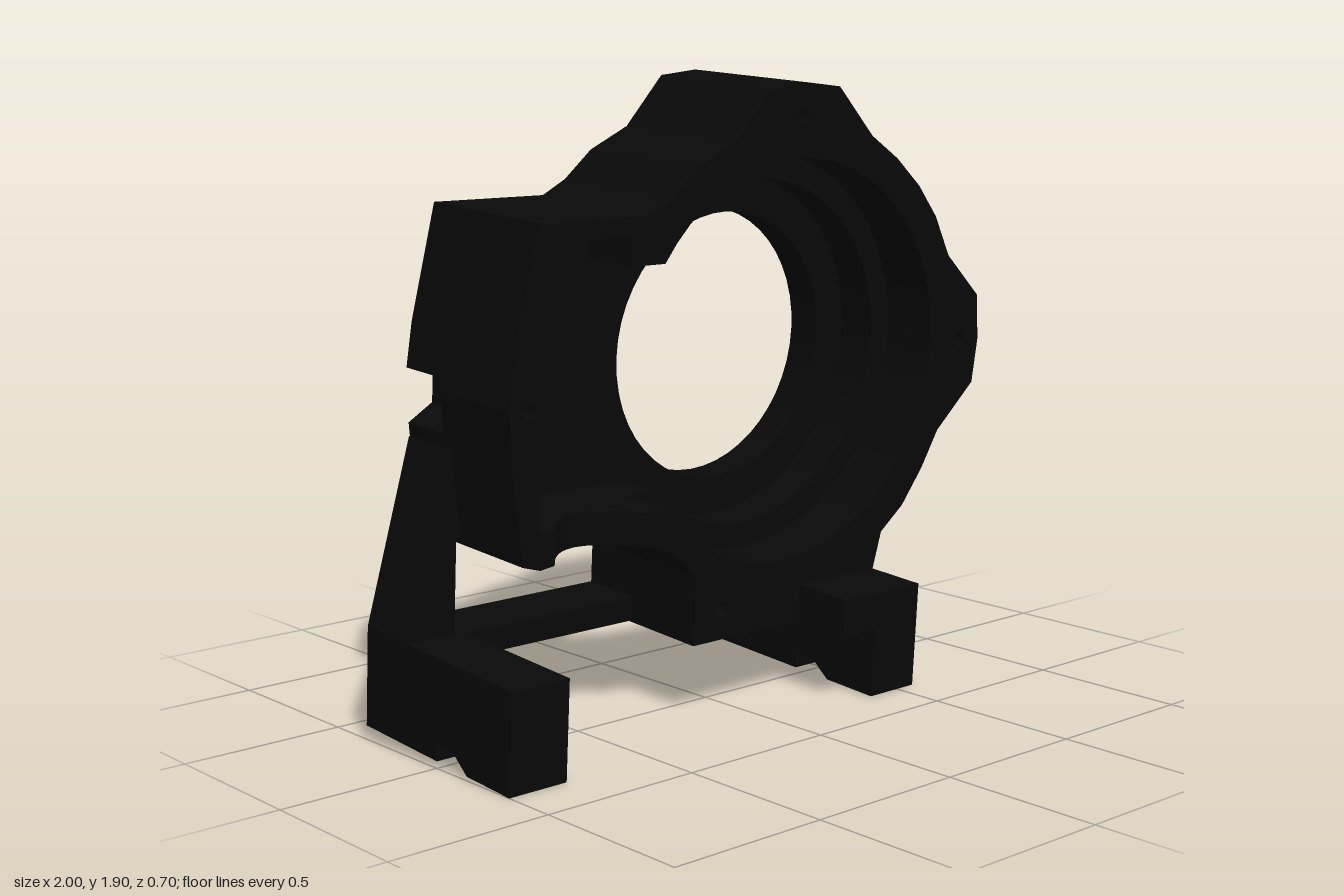
import * as THREE from 'three';

const BACK = -0.348, FRONT = 0.133;
const CX = 0.165, CY = 1.052; // bore centre

// Outer contour of the housing, clockwise from the lower window edge to the base block
const leftSide = [[-0.38, 0.568], [-0.71, 0.568], [-0.76, 0.562], [-0.82, 0.58], [-0.865, 0.86]];
const sideNotch = [[-0.87, 0.9], [-0.79, 0.95], [-0.79, 1.03], [-0.88, 1.06]];
const plainSide = [[-0.88, 1.02]];
const rest = [
  [-0.865, 1.19], [-0.795, 1.525], [-0.41, 1.525], [-0.33, 1.568], [-0.235, 1.652], [-0.1, 1.717],
  [0.03, 1.867], [0.165, 1.882], [0.31, 1.867], [0.46, 1.717], [0.575, 1.645], [0.68, 1.557],
  [0.765, 1.457], [0.835, 1.33], [0.985, 1.192], [1, 1.047], [0.985, 0.908], [0.835, 0.767],
  [0.77, 0.65], [0.69, 0.54], [0.6, 0.466], [0.57, 0.345], [0.57, 0.235], [-0.18, 0.235],
  [-0.18, 0.445], [-0.24, 0.51], [-0.33, 0.56],
];

const vecs = (pts) => pts.map(([x, y]) => new THREE.Vector2(x, y));

// Points of an arc from angle a to angle b
function arc(cx, cy, r, a, b, n) {
  return Array.from({ length: n + 1 }, (_, i) => {
    const t = a + ((b - a) * i) / n;
    return [cx + r * Math.cos(t), cy + r * Math.sin(t)];
  });
}

// Counterclockwise round hole
function circle(cx, cy, r, n) {
  return new THREE.Path(vecs(arc(cx, cy, r, 0, Math.PI * 2, n).slice(0, n)));
}

// Counterclockwise bore, followed by the notched side pocket that opens into it
function boreAndPocket(r) {
  const top = Math.PI - Math.asin((1.385 - CY) / r);
  const bottom = -Math.PI + Math.asin((CY - 0.67) / r);
  return [
    ...arc(CX, CY, r, bottom, top, 44),
    [-0.47, 1.385], [-0.47, 1.47], [-0.63, 1.47], [-0.63, 1.385], [-0.77, 1.385], [-0.77, 0.67],
  ];
}

function extrude(shape, z0, z1) {
  const g = new THREE.ExtrudeGeometry(shape, { depth: z1 - z0, bevelEnabled: false });
  return g.translate(0, 0, z0);
}

export function createModel() {
  const black = new THREE.MeshStandardMaterial({ color: 0x090909 });
  black.name = 'black';
  const model = new THREE.Group();
  model.name = 'housing';
  const frame = new THREE.Group();
  frame.name = 'tiltedFrame';
  frame.rotation.x = 0.062;
  model.add(frame);

  const add = (name, geometry) => {
    const mesh = new THREE.Mesh(geometry, black);
    mesh.name = name;
    frame.add(mesh);
  };
  const box = (name, x0, x1, y0, y1, z0, z1) =>
    add(name, new THREE.BoxGeometry(x1 - x0, y1 - y0, z1 - z0)
      .translate((x0 + x1) / 2, (y0 + y1) / 2, (z0 + z1) / 2));
  const boltHoles = (r) => [[CX, 1.783], [0.907, 1.055], [-0.068, 0.329]]
    .map(([x, y]) => circle(x, y, r, 14));

  // Back wall: stepped recess down to the bore, with wide bolt holes
  [['backRim', BACK, -0.325, 0.61], ['backStep', -0.325, -0.295, 0.53], ['boreWall', -0.295, -0.18, 0.415]]
    .forEach(([name, z0, z1, r]) => {
      const s = new THREE.Shape(vecs([...leftSide, ...sideNotch, ...rest]));
      s.holes.push(circle(CX, CY, r, 48), ...boltHoles(0.034));
      add(name, extrude(s, z0, z1));
    });

  // Middle ring with the closed side pocket
  const middle = new THREE.Shape(vecs([...leftSide, ...plainSide, ...rest]));
  const sideHole = circle(-0.812, 1.015, 0.022, 14);
  middle.holes.push(new THREE.Path(vecs(boreAndPocket(0.53))), ...boltHoles(0.024), sideHole);
  add('middleRing', extrude(middle, -0.18, -0.05));

  // Front ring: pocket floor left open between its two ends
  const front = new THREE.Shape(vecs([
    ...leftSide.slice(1), ...plainSide, ...rest, [-0.38, 0.568], [-0.38, 0.67],
    ...boreAndPocket(0.61), [-0.71, 0.67],
  ]));
  front.holes.push(...boltHoles(0.024), sideHole);
  add('frontRing', extrude(front, -0.05, FRONT));

  // Pocket floor with a concave front edge
  const floor = new THREE.Shape();
  floor.moveTo(-0.71, -0.05);
  floor.lineTo(-0.38, -0.05);
  floor.lineTo(-0.38, FRONT);
  floor.quadraticCurveTo(-0.545, -0.1, -0.71, FRONT);
  add('pocketFloor', extrude(floor, 0, 0.102).rotateX(Math.PI / 2).translate(0, 0.67, 0));

  // Feet: one notched side profile, extruded across the width
  [['rightFoot', -1, -0.805, 0.318], ['leftFoot', 0.385, 0.57, 0.35]].forEach(([name, x0, x1, top]) => {
    const profile = [[0.331, 0.021], [0.331, top], [BACK, top], [BACK, 0.021], [0, 0.021],
      [0, 0.068], [0.075, 0.068], [0.14, 0.021]];
    add(name, extrude(new THREE.Shape(vecs(profile)), 0, x1 - x0).rotateY(-Math.PI / 2).translate(x1, 0, 0));
  });
  box('leftFootBracket', 0.25, 0.57, 0.236, 0.35, 0.1, 0.331);

  // Leaning arm and the cross bar under the window
  const arm = new THREE.Shape(vecs([[-1, 0.29], [-0.84, 0.29], [-0.84, 0.6], [-0.79, 0.6], [-0.82, 0.86], [-0.868, 0.86], [-1, 0.32]]));
  add('arm', extrude(arm, BACK, -0.15));
  box('crossBar', -0.83, -0.17, 0.24, 0.314, BACK, -0.15);

  return model;
}
